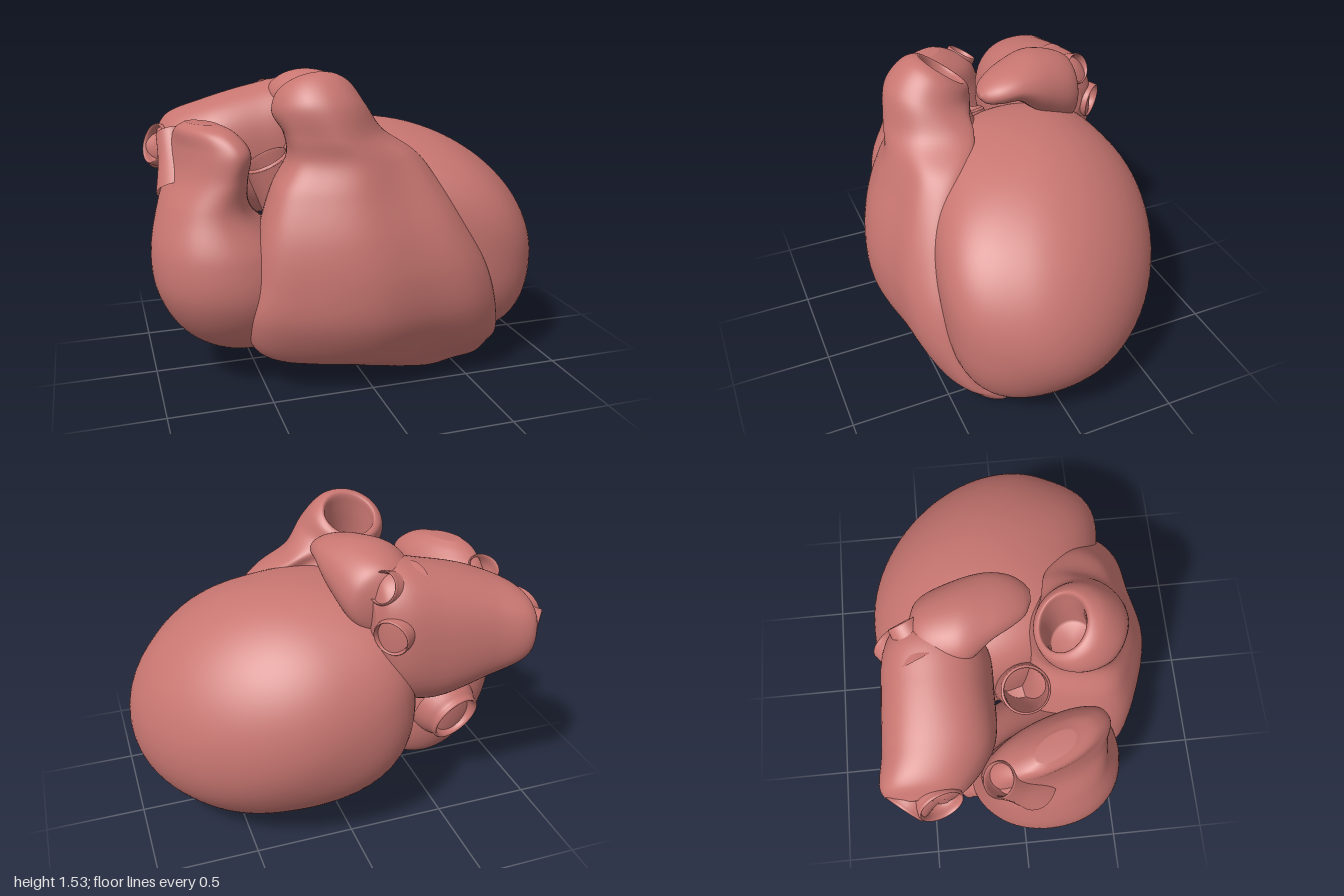
import * as THREE from 'three';

const material = new THREE.MeshStandardMaterial({ color: 0xc87671, side: THREE.DoubleSide });
const V = (x, y, z) => new THREE.Vector3(x, y, z);
const power = (v, e) => Math.sign(v) * Math.abs(v) ** e;

// Rounded ring across an axis at position t, bounded by a0..a1 and b0..b1 (in x, y, z order);
// e below 1 makes it boxier, shear slides x along z
const AXES = { y: ['x', 'z'], x: ['z', 'y'], z: ['y', 'x'] };
function ring(axis, [t, a0, a1, b0, b1, shear = 0], e = 1) {
  const [p, q] = AXES[axis];
  const [p0, p1, q0, q1] = axis === 'y' ? [a0, a1, b0, b1] : [b0, b1, a0, a1];
  return Array.from({ length: 12 }, (_, i) => {
    const a = (i / 12) * Math.PI * 2, v = V(0, 0, 0);
    v[axis] = t;
    v[p] = (p0 + p1) / 2 + ((p1 - p0) / 2) * power(Math.cos(a), e);
    v[q] = (q0 + q1) / 2 + ((q1 - q0) / 2) * power(Math.sin(a), e);
    v.x += shear * (v.z - (b0 + b1) / 2);
    return v;
  });
}

// Smooth closed skin through a stack of rings
function loft(rings, nU = 72, nV = 72) {
  const rows = rings.map((r) => {
    const c = new THREE.CatmullRomCurve3(r, true);
    return Array.from({ length: nU }, (_, i) => c.getPoint(i / nU));
  });
  const cols = Array.from({ length: nU }, (_, i) => new THREE.CatmullRomCurve3(rows.map((r) => r[i])));
  const pos = [], idx = [];
  for (let j = 0; j <= nV; j++) for (const c of cols) pos.push(...c.getPoint(j / nV).toArray());
  for (let j = 0; j < nV; j++) {
    for (let i = 0; i < nU; i++) {
      const k = (i + 1) % nU, a = j * nU + i, b = a + nU, c = j * nU + k, d = c + nU;
      idx.push(a, b, c, c, b, d);
    }
  }
  // end caps
  [0, nV].forEach((j) => {
    const m = V(0, 0, 0), e = pos.length / 3;
    const row = j ? rows[rows.length - 1] : rows[0];
    row.forEach((p) => m.addScaledVector(p, 1 / nU));
    pos.push(m.x, m.y, m.z);
    for (let i = 0; i < nU; i++) {
      const a = j * nU + i, c = j * nU + ((i + 1) % nU);
      if (j) idx.push(a, e, c); else idx.push(a, c, e);
    }
  });
  const g = new THREE.BufferGeometry();
  g.setAttribute('position', new THREE.Float32BufferAttribute(pos, 3));
  g.setIndex(idx);
  g.computeVertexNormals();
  return g;
}

const ringLoft = (axis, table, e) => loft(table.map((r) => ring(axis, r, e)));

// Left ventricle: an ellipsoid leaning to the apex, squarer towards the front, base and underside
function ventricleGeometry() {
  const g = new THREE.SphereGeometry(1, 80, 56), pos = g.attributes.position, u = V(0, 0, 0);
  for (let i = 0; i < pos.count; i++) {
    u.fromBufferAttribute(pos, i);
    const p = 2 + 0.8 * THREE.MathUtils.smoothstep(u.z - u.x - 0.6 * u.y, -0.8, 1);
    u.divideScalar((Math.abs(u.x) ** p + Math.abs(u.y) ** p + Math.abs(u.z) ** p) ** (1 / p));
    pos.setXYZ(i, u.x, u.y, u.z);
  }
  g.applyMatrix4(new THREE.Matrix4().set(
    0.67, 0, 0, 0.33,
    -0.14, 0.556, 0, 0.67,
    0.16, 0.04, 0.585, -0.1,
    0, 0, 0, 1));
  g.computeVertexNormals();
  return g;
}

// Hollow vessel stump: flared root, rounded lip, open bore; mouth at `at`, facing `dir`
function vesselGeometry(at, dir, r, len, flare, depth) {
  const curve = new THREE.SplineCurve([
    [r * flare, -len], [r * 1.12, -len * 0.5], [r * 1.0, -0.03], [r * 0.99, -0.008],
    [r * 0.93, 0], [r * 0.86, -0.012], [r * 0.82, -depth * 0.6], [r * 0.7, -depth],
  ].map((p) => new THREE.Vector2(...p)));
  const g = new THREE.LatheGeometry([...curve.getPoints(36), new THREE.Vector2(0, -depth)], 36);
  g.applyQuaternion(new THREE.Quaternion().setFromUnitVectors(V(0, 1, 0), V(...dir).normalize()));
  return g.translate(...at);
}

export function createModel() {
  const model = new THREE.Group();
  const add = (name, geometry) => {
    const mesh = new THREE.Mesh(geometry, material);
    mesh.name = name;
    model.add(mesh);
  };

  add('leftVentricle', ventricleGeometry());

  // Right ventricle: y, left x, right x, front z, right edge z, back z
  const wall = [
    [0.0, 0.32, 0.5, 0.24, 0.18, 0.13],
    [0.015, 0.14, 0.62, 0.36, 0.22, 0.04],
    [0.05, 0.0, 0.68, 0.44, 0.27, -0.02],
    [0.12, -0.3, 0.7, 0.52, 0.34, -0.05],
    [0.2, -0.54, 0.69, 0.59, 0.43, -0.05],
    [0.4, -0.6, 0.64, 0.69, 0.5, -0.05],
    [0.6, -0.56, 0.57, 0.71, 0.52, 0.0],
    [0.8, -0.52, 0.46, 0.68, 0.5, 0.03],
    [1.0, -0.45, 0.35, 0.61, 0.43, 0.06],
    [1.14, -0.37, 0.26, 0.56, 0.34, 0.08],
    [1.25, -0.38, 0.11, 0.54, 0.26, 0.1],
  ].map(([y, l, r, f, e, b]) => {
    const w = r - l, d = f - b, at = (k, z) => V(l + w * k, y, z);
    return [
      at(1, e), at(0.9, e + (f - e) * 0.55), at(0.7, f - 0.04), at(0.45, f), at(0.2, f - d * 0.1),
      at(0.04, f - d * 0.24), at(0, f - d * 0.42), at(0.08, b + d * 0.12), at(0.25, b),
      at(0.5, b), at(0.75, (b + e) / 2 - 0.03), at(0.94, e - d * 0.2),
    ];
  });
  // Pulmonary trunk: hollow mouth leaning backward on top of the right ventricle
  const mouth = [
    [1.36, -0.43, 0.01, 0.09, 0.5, 0.25], [1.44, -0.4, -0.05, 0.09, 0.39, 0.55],
    [1.45, -0.36, -0.09, 0.11, 0.32, 0.75], [1.39, -0.35, -0.1, 0.13, 0.32, 0.6],
    [1.15, -0.33, -0.12, 0.18, 0.38, 0.2],
  ].map(([y, x0, x1, z0, z1, tilt]) => ring('y', [y, x0, x1, z0, z1]).map((p) => {
    p.y += tilt * (p.z - (z0 + z1) / 2) + tilt * 0.08 * (p.x - (x0 + x1) / 2);
    return p;
  }));
  add('rightVentricle', loft([...wall, ...mouth], 96, 112));

  // Right atrium, narrowing upward into the diagonal fold of its auricle
  add('rightAtrium', ringLoft('y', [
    [0.13, -0.6, -0.44, -0.12, 0.06],
    [0.18, -0.75, -0.34, -0.2, 0.25],
    [0.3, -0.89, -0.27, -0.26, 0.4],
    [0.5, -0.985, -0.26, -0.28, 0.5],
    [0.7, -0.995, -0.34, -0.25, 0.49, 0.03],
    [0.9, -0.94, -0.53, -0.21, 0.41, 0.12],
    [1.05, -0.865, -0.57, -0.2, 0.4, 0.25],
    [1.18, -0.83, -0.57, -0.15, 0.4, 0.32],
    [1.26, -0.82, -0.62, -0.04, 0.33, 0.36],
    [1.295, -0.79, -0.68, 0.04, 0.22, 0.4],
  ], 0.93));

  // Left atrium: lofted sideways (x, y range, z range)
  add('leftAtrium', ringLoft('x', [
    [-0.89, 0.99, 1.17, -0.58, -0.36],
    [-0.83, 0.9, 1.25, -0.66, -0.26],
    [-0.65, 0.79, 1.33, -0.65, -0.13],
    [-0.4, 0.71, 1.4, -0.64, -0.11],
    [-0.22, 0.76, 1.43, -0.62, -0.12],
    [-0.13, 0.92, 1.39, -0.57, -0.2],
    [-0.09, 1.1, 1.3, -0.5, -0.28],
  ], 0.84));

  // Left auricle: lobe curling forward (z, x range, y range)
  add('leftAuricle', ringLoft('z', [
    [-0.48, -0.24, -0.12, 1.2, 1.34],
    [-0.43, -0.32, 0.0, 1.1, 1.43],
    [-0.25, -0.34, 0.06, 1.18, 1.49],
    [-0.1, -0.25, 0.07, 1.3, 1.475],
    [0.0, -0.19, 0.055, 1.31, 1.445],
    [0.06, -0.14, 0.02, 1.32, 1.41],
    [0.09, -0.08, -0.02, 1.35, 1.38],
  ]));

  // Vessel stumps: name, mouth centre, direction, radius, length, flare, depth
  [
    ['aorta', [-0.41, 1.08, 0.04], [-0.4, 0.85, 0.05], 0.12, 0.5, 1.3, 0.3],
    ['upperVenaCava', [-0.84, 1.21, -0.13], [-0.05, 0.8, -0.5], 0.085, 0.3, 1.5, 0.09],
    ['lowerVenaCava', [-0.65, 0.44, -0.33], [-0.25, -0.3, -0.9], 0.145, 0.13, 1.3, 0.07],
    ['coronarySinus', [-0.46, 0.65, -0.28], [0.05, 0.1, -1], 0.06, 0.15, 1.6, 0.06],
    ['rightPulmonaryVeinBack', [-0.9, 1.05, -0.57], [-0.75, -0.1, -0.6], 0.11, 0.22, 1.6, 0.07],
    ['rightPulmonaryVeinFront', [-0.92, 1.11, -0.39], [-0.85, 0.3, 0.35], 0.11, 0.22, 1.6, 0.07],
    ['leftPulmonaryVeinUpper', [-0.12, 1.36, -0.49], [0.75, 0.35, -0.35], 0.08, 0.17, 1.8, 0.06],
    ['leftPulmonaryVeinLower', [-0.13, 1.15, -0.59], [0.7, -0.1, -0.6], 0.09, 0.2, 1.8, 0.07],
  ].forEach(([name, ...spec]) => add(name, vesselGeometry(...spec)));

  return model;
}
